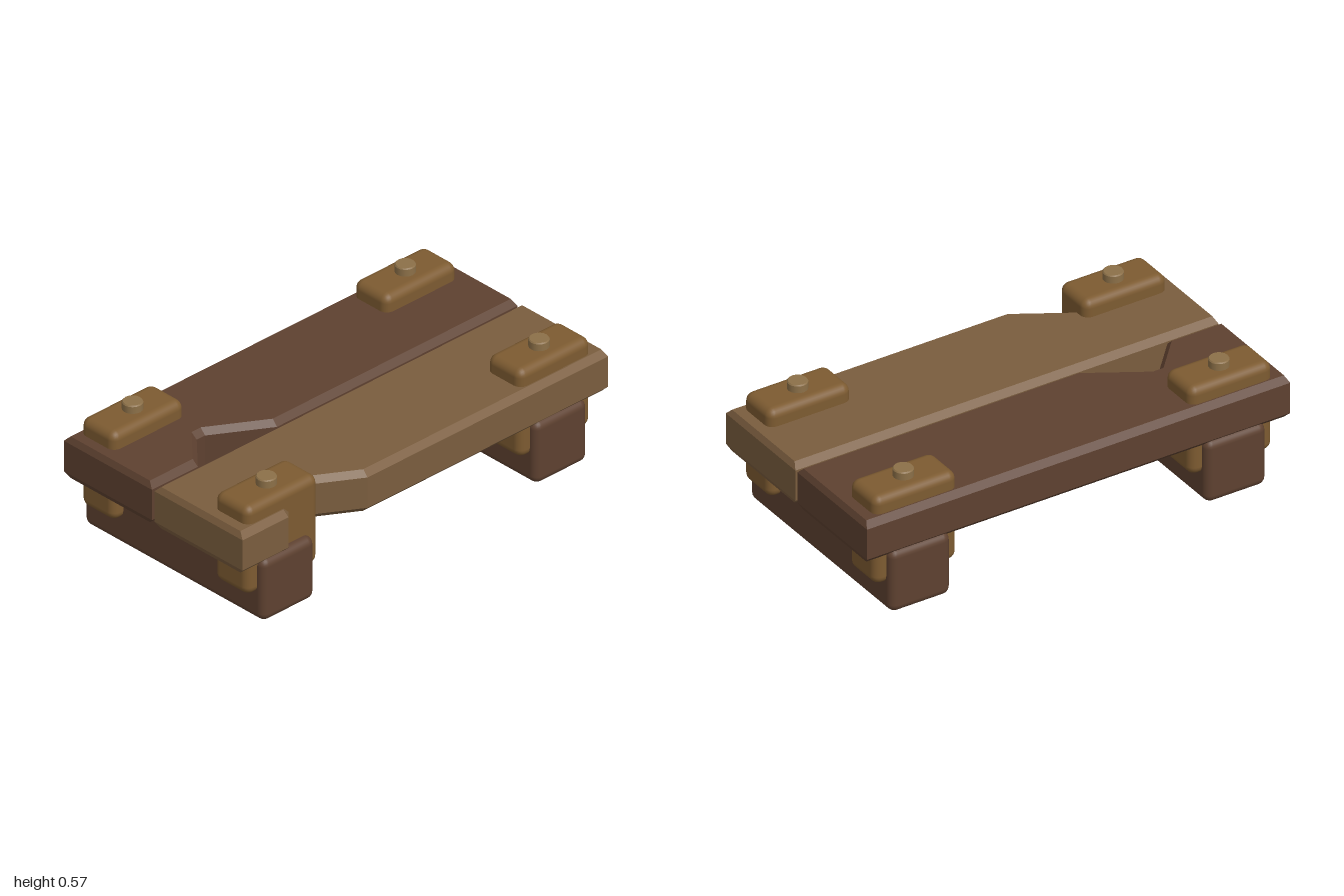
import * as THREE from 'three';
import { RoundedBoxGeometry } from 'three/addons/geometries/RoundedBoxGeometry.js';

const material = (color) => new THREE.MeshStandardMaterial({ color });

function add(parent, name, geometry, mat, x, y, z) {
  const mesh = new THREE.Mesh(geometry, mat);
  mesh.name = name;
  mesh.position.set(x, y, z);
  parent.add(mesh);
  return mesh;
}

// Chamfered plank with a V notch in its +z edge; drawn stretched in x so the end chamfers come out narrower
function plankGeometry() {
  const stretch = 2, chamfer = 0.026, height = 0.193;
  const outline = [
    [-0.995, 0], [0.995, 0], [0.995, 0.505], [-0.315, 0.505],
    [-0.565, 0.356], [-0.61, 0.356], [-0.745, 0.505], [-0.995, 0.505],
  ];
  const shape = new THREE.Shape(outline.map(([x, z]) => new THREE.Vector2(x * stretch, z)));
  const geometry = new THREE.ExtrudeGeometry(shape, {
    depth: height - 2 * chamfer, bevelEnabled: true, bevelSegments: 1,
    bevelSize: chamfer, bevelThickness: chamfer, bevelOffset: -chamfer,
  });
  geometry.rotateX(Math.PI / 2);
  geometry.translate(0, -chamfer, 0);
  geometry.scale(1 / stretch, 1, 1);
  geometry.computeVertexNormals();
  return geometry;
}

export function createModel() {
  const model = new THREE.Group();
  model.name = 'plankPlatform';

  const darkWood = material(0x5e4130);
  const lightWood = material(0x7a5d3e);
  const clampWood = material(0x7d5b31);
  const pegWood = material(0x8c7048);

  // Two planks side by side
  const plank = plankGeometry();
  add(model, 'frontPlank', plank, lightWood, 0, 0.461, 0.007);
  add(model, 'backPlank', plank, darkWood, 0, 0.461, -0.512);

  // Cross beams underneath, each with a clamp block and peg at both ends
  const beam = new RoundedBoxGeometry(0.286, 0.287, 1.034, 3, 0.035);
  const clamp = new RoundedBoxGeometry(0.39, 0.409, 0.195, 3, 0.037);
  const peg = new THREE.CylinderGeometry(0.043, 0.043, 0.072, 16);
  const pegCap = new THREE.CylinderGeometry(0.039, 0.043, 0.005, 16);

  for (const [side, x] of [['right', -0.743], ['left', 0.741]]) {
    add(model, side + 'Beam', beam, darkWood, x, 0.1435, 0);
    for (const [end, z] of [['Front', 0.383], ['Back', -0.383]]) {
      add(model, side + end + 'Clamp', clamp, clampWood, x, 0.3315, z);
      add(model, side + end + 'Peg', peg, pegWood, x, 0.531, z);
      add(model, side + end + 'PegCap', pegCap, pegWood, x, 0.5695, z);
    }
  }
  return model;
}
